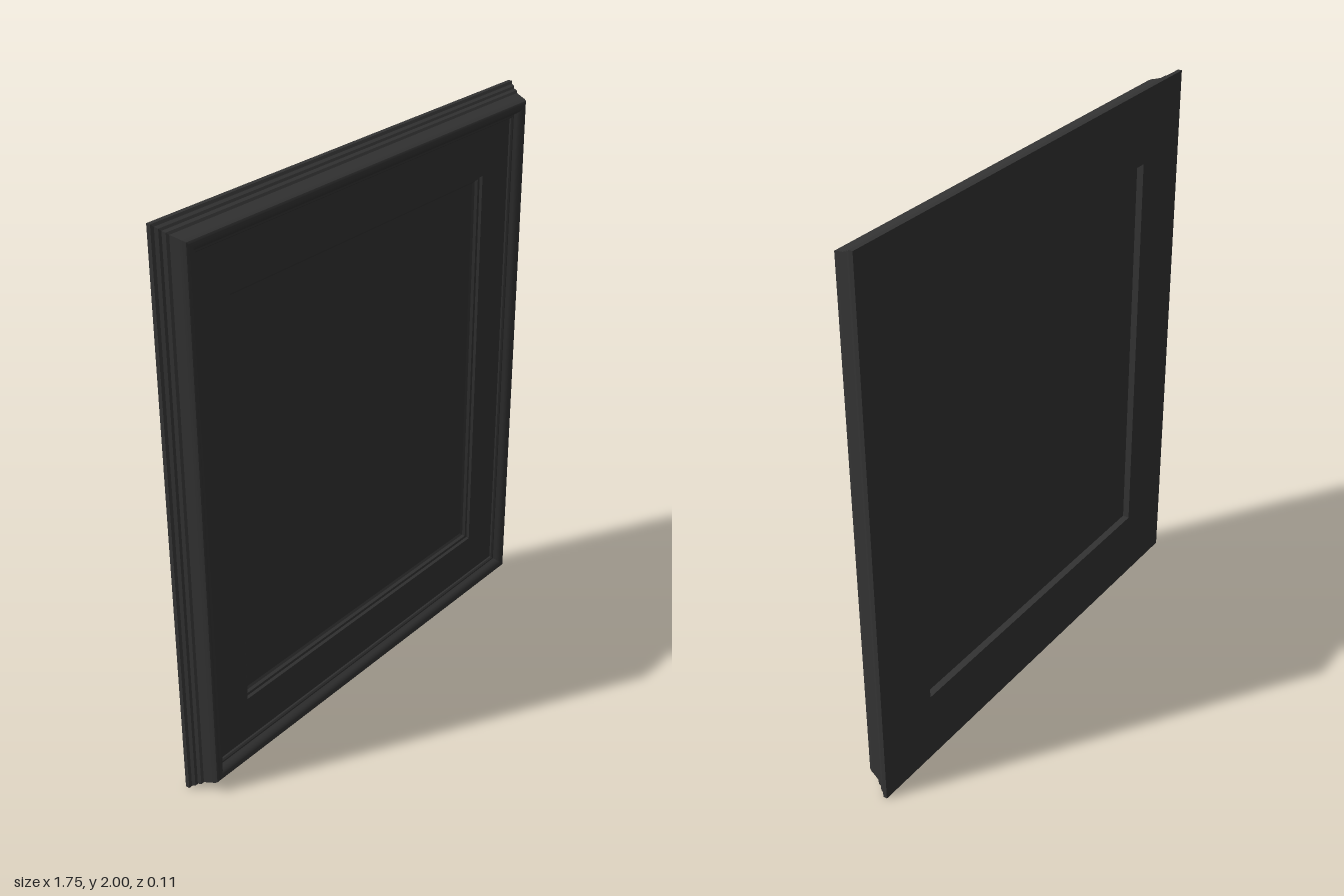
import * as THREE from 'three';
import { toCreasedNormals } from 'three/addons/utils/BufferGeometryUtils.js';

const material = new THREE.MeshStandardMaterial({ color: 0x333333 });

// Rectangles as left, right, bottom, top
const OUTER = [-0.877, 0.877, 0, 2];
const OPENING = [-0.643, 0.627, 0.26, 1.735];
const BACK = -0.055;
const MAT = 0.022;
const PANEL_FRONT = -0.003;
const PANEL_BACK = -0.03;
const LIP = 0.025;

// Four mitred corners of a rectangle moved inwards, at depth z
function corners([rect, inset, z]) {
  const l = rect[0] + inset, r = rect[1] - inset;
  const b = rect[2] + inset, t = rect[3] - inset;
  return [[r, b, z], [r, t, z], [l, t, z], [l, b, z]];
}

// Sweeps a profile of [rectangle, inset, z] points around the four sides
function mitredRing(name, profile) {
  const loops = profile.map(corners);
  const positions = [];
  for (let i = 0; i < loops.length - 1; i++) {
    const a = loops[i], b = loops[i + 1];
    for (let j = 0; j < 4; j++) {
      const k = (j + 1) % 4;
      positions.push(...a[j], ...a[k], ...b[k], ...a[j], ...b[k], ...b[j]);
    }
  }
  const geometry = new THREE.BufferGeometry();
  geometry.setAttribute('position', new THREE.Float32BufferAttribute(positions, 3));
  const mesh = new THREE.Mesh(toCreasedNormals(geometry, 0.5), material);
  mesh.name = name;
  return mesh;
}

export function createModel() {
  const group = new THREE.Group();
  group.name = 'pictureFrame';

  // Outer moulding: stepped side, rounded crown, cove down to the mat
  const moulding = [
    [0, BACK], [0, -0.04], [0.008, -0.034], [0.012, -0.022], [0.019, -0.017],
    [0.022, -0.004], [0.029, 0.002], [0.033, 0.016], [0.037, 0.03], [0.04, 0.042],
    [0.044, 0.05], [0.05, 0.054], [0.057, 0.055], [0.066, 0.053], [0.074, 0.048],
    [0.081, 0.04], [0.086, 0.031], [0.092, 0.031], [0.097, 0.027], [0.099, MAT],
  ].map(([inset, z]) => [OUTER, inset, z]);
  group.add(mitredRing('moulding', moulding));

  // Flat mat face
  group.add(mitredRing('mat', [[OUTER, 0.099, MAT], [OPENING, 0, MAT]]));

  // Stepped lip around the opening, with a rebate behind
  const lip = [
    [0, MAT], [0.004, 0.013], [0.012, 0.011], [0.017, 0.002], [LIP, PANEL_FRONT],
    [LIP, PANEL_BACK], [0, PANEL_BACK], [0, BACK],
  ].map(([inset, z]) => [OPENING, inset, z]);
  group.add(mitredRing('innerLip', lip));

  // Flat back of the frame
  group.add(mitredRing('frameBack', [[OPENING, 0, BACK], [OUTER, 0, BACK]]));

  // Centre panel filling the opening
  const [l, r, b, t] = OPENING;
  const panel = new THREE.Mesh(
    new THREE.BoxGeometry(r - l - 2 * LIP, t - b - 2 * LIP, PANEL_FRONT - PANEL_BACK),
    material
  );
  panel.position.set((l + r) / 2, (b + t) / 2, (PANEL_FRONT + PANEL_BACK) / 2);
  panel.name = 'centrePanel';
  group.add(panel);

  return group;
}
